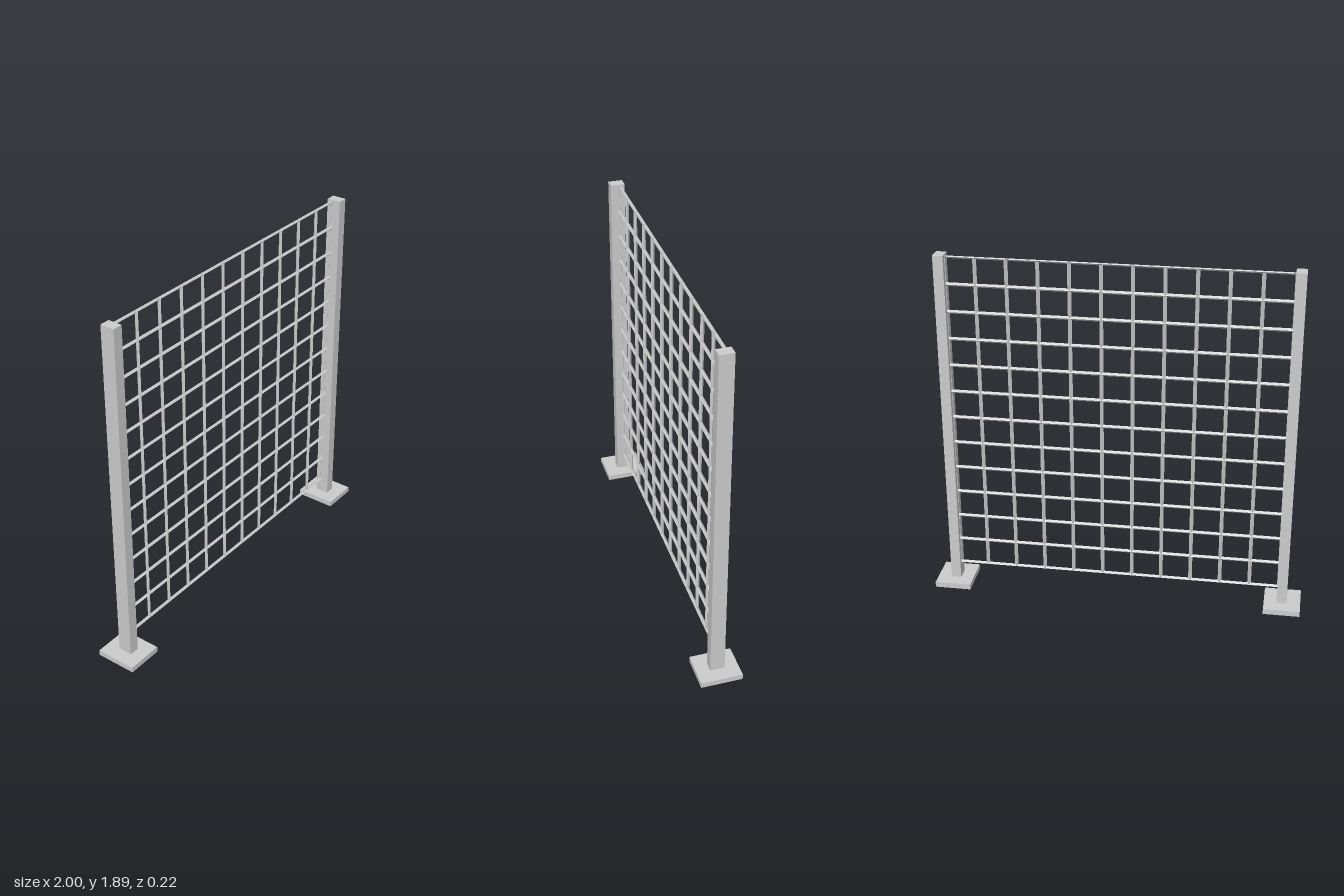
import * as THREE from 'three';

const material = new THREE.MeshStandardMaterial({ color: 0xcccccc, flatShading: true });
const wireMaterial = new THREE.MeshStandardMaterial({ color: 0xcccccc, flatShading: true, side: THREE.DoubleSide });

function box(name, w, h, d, x, y) {
  const mesh = new THREE.Mesh(new THREE.BoxGeometry(w, h, d), material);
  mesh.name = name;
  mesh.position.set(x, y, 0);
  return mesh;
}

// Wire grid: every cell is a frame of sloped faces, so neighbouring cells
// form hollow diamond-section wires and the outer rim stays a half wire.
function wireGrid(cols, rows, x0, x1, y0, y1, z, half) {
  const positions = [];
  const dx = (x1 - x0) / cols, dy = (y1 - y0) / rows;
  const quad = (a, b, c, d) => positions.push(...a, ...b, ...c, ...a, ...c, ...d);
  const ring = (l, b, inset, depth) => [
    [l + inset, b + inset, depth],
    [l + dx - inset, b + inset, depth],
    [l + dx - inset, b + dy - inset, depth],
    [l + inset, b + dy - inset, depth],
  ];
  for (let i = 0; i < cols; i++) {
    for (let j = 0; j < rows; j++) {
      const l = x0 + i * dx, b = y0 + j * dy;
      const front = ring(l, b, 0, z + half);
      const inner = ring(l, b, half, z);
      const back = ring(l, b, 0, z - half);
      for (let k = 0; k < 4; k++) {
        const n = (k + 1) % 4;
        quad(front[k], front[n], inner[n], inner[k]);
        quad(inner[k], inner[n], back[n], back[k]);
      }
    }
  }
  const geometry = new THREE.BufferGeometry();
  geometry.setAttribute('position', new THREE.Float32BufferAttribute(positions, 3));
  geometry.computeVertexNormals();
  return geometry;
}

export function createModel() {
  const group = new THREE.Group();
  group.name = 'meshFence';

  // Posts on flat base plates
  for (const [side, s] of [['left', 1], ['right', -1]]) {
    group.add(box(side + 'BasePlate', 0.196, 0.03, 0.22, s * 0.902, 0.015));
    group.add(box(side + 'Post', 0.054, 1.86, 0.076, s * 0.9, 0.96));
  }

  // Wire mesh panel between the posts
  const panel = new THREE.Mesh(wireGrid(11, 12, -0.88, 0.88, 0.118, 1.882, -0.009, 0.01), wireMaterial);
  panel.name = 'wirePanel';
  group.add(panel);

  return group;
}
